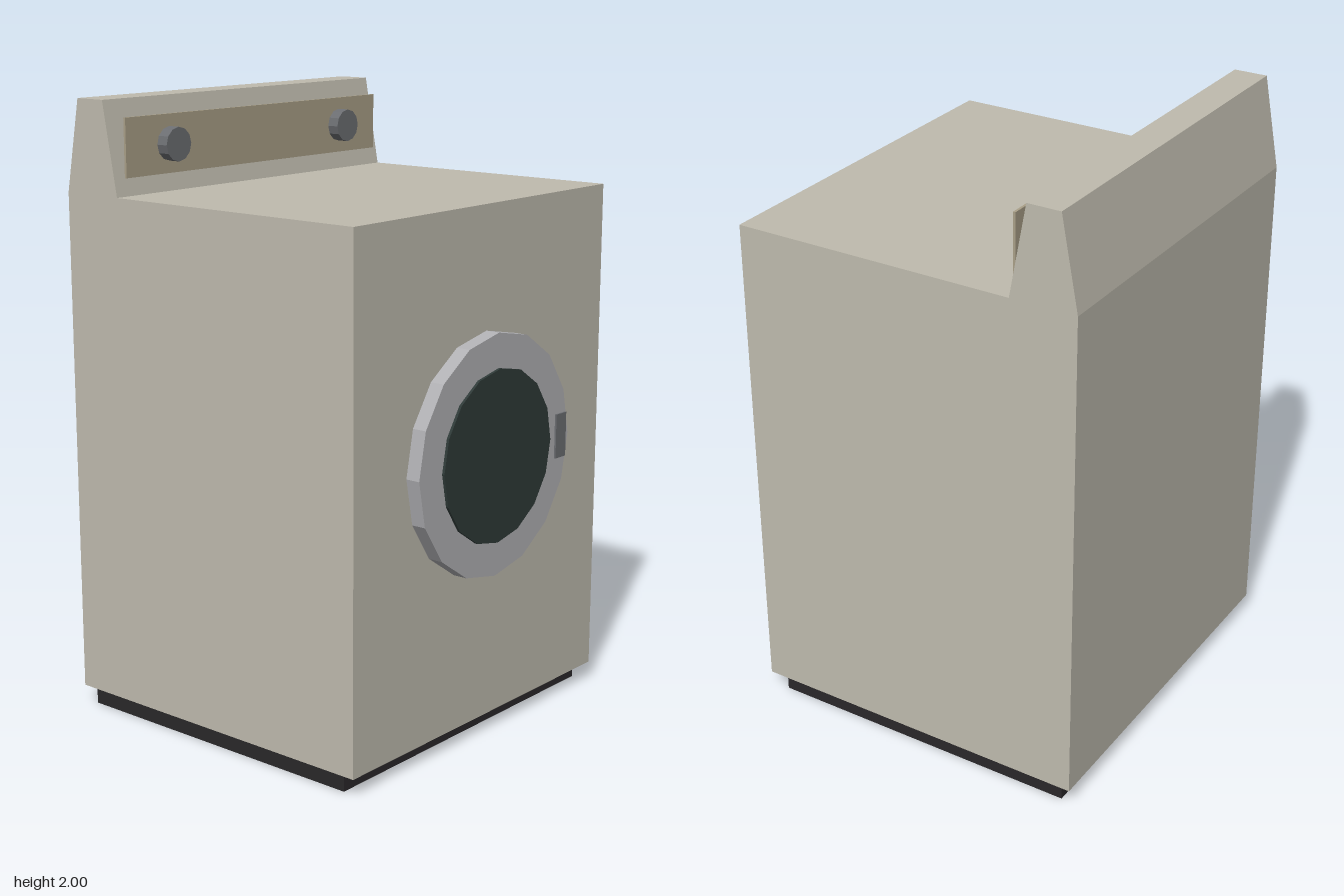
import * as THREE from 'three';

const mat = (color) => new THREE.MeshStandardMaterial({ color, flatShading: true });

export function createModel() {
  const model = new THREE.Group();
  const cream = mat(0xbfbbae), tan = mat(0xaaa088), steel = mat(0xb1b1b4);
  const glassDark = mat(0x2f3a38), grey = mat(0x6c6e72), black = mat(0x2a282a);

  const add = (name, geometry, material, x, y, z) => {
    const mesh = new THREE.Mesh(geometry, material);
    mesh.name = name;
    mesh.position.set(x, y, z);
    model.add(mesh);
  };
  // Disc whose axis points to the front
  const disc = (radius, depth, sides) =>
    new THREE.CylinderGeometry(radius, radius, depth, sides).rotateX(Math.PI / 2);

  // Cabinet with raised control console: side profile (z, y) swept across the width
  const profile = [
    [0.555, 0.06], [0.555, 1.705], [-0.39, 1.705], [-0.445, 2],
    [-0.555, 2], [-0.61, 1.705], [-0.61, 0.06],
  ].map(([z, y]) => new THREE.Vector2(z, y));
  const width = 1.26;
  const cabinet = new THREE.ExtrudeGeometry(new THREE.Shape(profile), { depth: width, bevelEnabled: false })
    .translate(0, 0, -width / 2)
    .rotateY(-Math.PI / 2);
  add('cabinet', cabinet, cream, 0, 0, 0);

  // Recessed plinth
  add('plinth', new THREE.BoxGeometry(1.22, 0.06, 1.075), black, 0, 0.03, -0.035);

  // Control panel plate with two knobs
  add('controlPanel', new THREE.BoxGeometry(1.19, 0.185, 0.008), tan, 0, 1.855, -0.386);
  for (const side of [-1, 1]) {
    add(side < 0 ? 'rightKnob' : 'leftKnob', disc(0.054, 0.042, 12), grey, side * 0.407, 1.855, -0.362);
  }

  // Round door, window and latch
  add('doorRing', disc(0.387, 0.06, 16), steel, 0, 0.93, 0.573);
  add('doorWindow', disc(0.277, 0.03, 16), glassDark, 0, 0.93, 0.597);
  add('doorHandle', new THREE.BoxGeometry(0.055, 0.145, 0.03), grey, 0.341, 0.93, 0.594);

  return model;
}
